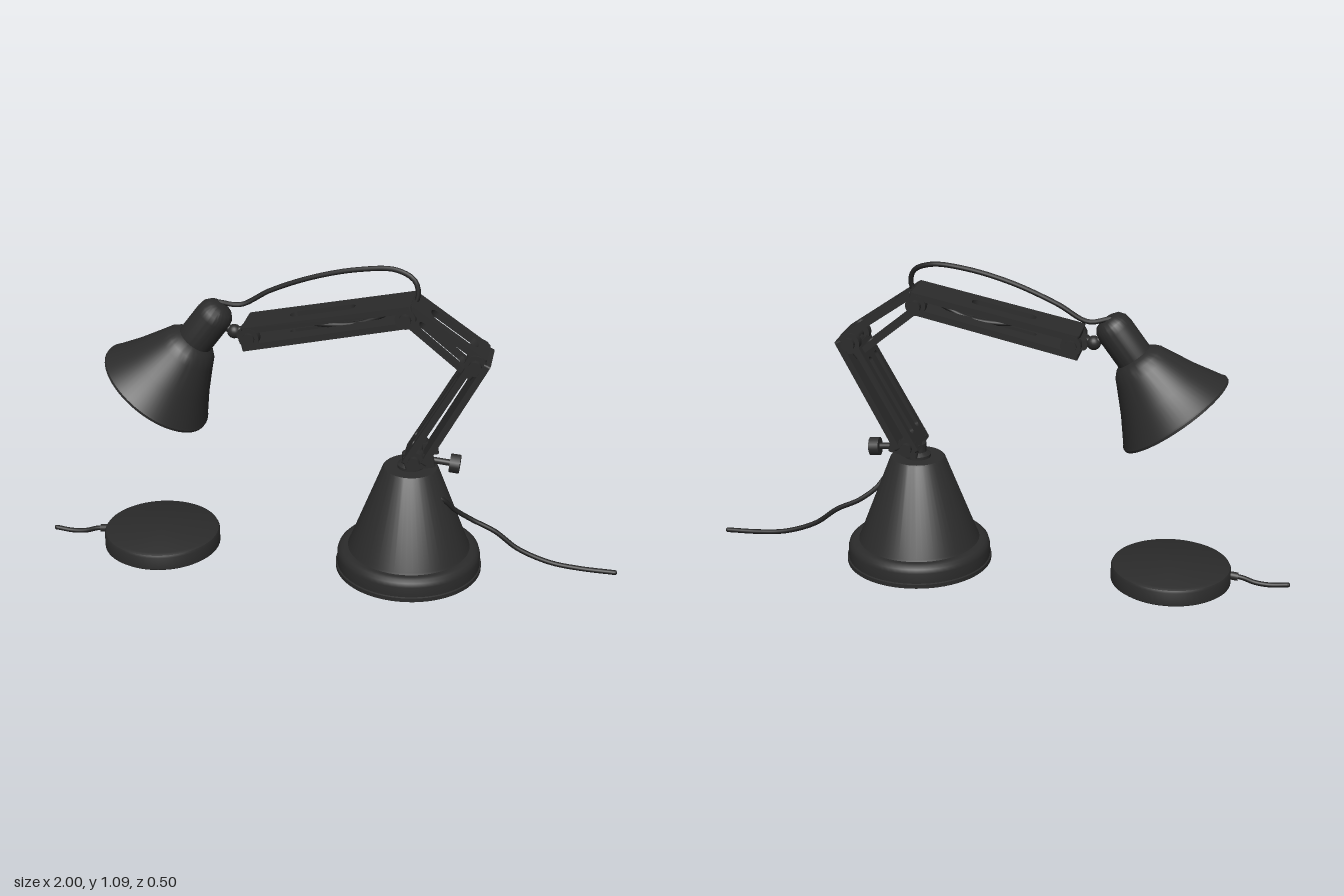
import * as THREE from 'three';
import { toCreasedNormals } from 'three/addons/utils/BufferGeometryUtils.js';

const black = new THREE.MeshStandardMaterial({ color: 0x2b2b2b });
black.name = 'blackPaint';
const rubber = new THREE.MeshStandardMaterial({ color: 0x222222 });
rubber.name = 'blackCord';
const cream = new THREE.MeshStandardMaterial({ color: 0xe6e2d0 });
cream.name = 'creamLining';

const V = (x, y, z = 0) => new THREE.Vector3(x, y, z);

function add(parent, name, geometry, material = black) {
  const mesh = new THREE.Mesh(geometry, material);
  mesh.name = name;
  parent.add(mesh);
  return mesh;
}

// Turned part from [radius, height] pairs, listed upwards for an outer skin
function turned(points, segments = 64) {
  const g = new THREE.LatheGeometry(points.map(p => new THREE.Vector2(...p)), segments);
  return toCreasedNormals(g, 0.6);
}

// Cylinder between two points
function rod(parent, name, a, b, radius, segments = 24) {
  const d = b.clone().sub(a);
  const m = add(parent, name, new THREE.CylinderGeometry(radius, radius, d.length(), segments));
  m.position.copy(a).add(b).multiplyScalar(0.5);
  m.quaternion.setFromUnitVectors(V(0, 1), d.normalize());
  return m;
}

function cord(parent, name, points, radius = 0.0085) {
  const curve = new THREE.CatmullRomCurve3(points.map(p => V(...p)));
  add(parent, name, new THREE.TubeGeometry(curve, 80, radius, 10), rubber);
  for (const p of [points[0], points[points.length - 1]])
    add(parent, name + 'End', new THREE.SphereGeometry(radius, 10, 8), rubber).position.set(...p);
}

function roundedOutline(target, cx, cy, w, h, r) {
  const x = cx - w / 2, y = cy - h / 2;
  target.moveTo(x + r, y);
  target.lineTo(x + w - r, y);
  target.absarc(x + w - r, y + r, r, -Math.PI / 2, 0);
  target.lineTo(x + w, y + h - r);
  target.absarc(x + w - r, y + h - r, r, 0, Math.PI / 2);
  target.lineTo(x + r, y + h);
  target.absarc(x + r, y + h - r, r, Math.PI / 2, Math.PI);
  target.lineTo(x, y + r);
  target.absarc(x + r, y + r, r, Math.PI, Math.PI * 1.5);
  return target;
}

// Flat arm plate from a to b, with slots given as [offset along, offset across, length, width]
function plate(parent, name, a, b, width, thick, slots = []) {
  const d = b.clone().sub(a), length = d.length();
  d.normalize();
  const shape = roundedOutline(new THREE.Shape(), 0, 0, length, width, 0.008);
  for (const [cx, cy, l, w] of slots)
    shape.holes.push(roundedOutline(new THREE.Path(), cx, cy, l, w, w * 0.45));
  const g = new THREE.ExtrudeGeometry(shape, { depth: thick, bevelEnabled: false, curveSegments: 6 });
  g.translate(0, 0, -thick / 2);
  g.applyMatrix4(new THREE.Matrix4().makeBasis(d, V(0, 0, -1), V(-d.y, d.x)));
  add(parent, name, g).position.copy(a).add(b).multiplyScalar(0.5);
}

// Hinge: barrel along z, thin bolt and a nut at each side
function hinge(parent, name, x, y, radius, half, bolt) {
  const g = new THREE.Group();
  g.name = name;
  parent.add(g);
  for (const s of [-1, 1]) {
    rod(g, 'hingeCheek', V(x, y, s * (half - 0.03)), V(x, y, s * half), radius);
    rod(g, 'hingeNut', V(x, y, s * half), V(x, y, s * bolt), radius * 0.6, 12);
  }
  rod(g, 'hingePin', V(x, y, -half), V(x, y, half), radius * 0.5);
}

export function createModel() {
  const lamp = new THREE.Group();
  lamp.name = 'deskLamp';

  // Conical base on a rounded foot ring
  const base = new THREE.Group();
  base.name = 'base';
  base.position.x = 0.285;
  lamp.add(base);
  add(base, 'basePad', turned([[0, 0], [0.235, 0], [0.235, 0.012]]), rubber);
  add(base, 'baseCone', turned([[0, 0.008], [0.252, 0.008], [0.252, 0.022], [0.247, 0.024], [0.247, 0.06],
    [0.243, 0.074], [0.234, 0.083], [0.222, 0.087], [0.21, 0.087], [0.206, 0.095], [0.095, 0.385],
    [0.09, 0.39], [0, 0.39]]));
  add(base, 'baseNeck', turned([[0.045, 0.388], [0.045, 0.4], [0.03, 0.41], [0.03, 0.44], [0, 0.45]], 32));

  // Swivel bracket and tightening knob
  add(lamp, 'swivelBall', new THREE.SphereGeometry(0.035, 24, 16)).position.set(0.3, 0.425, 0);
  rod(lamp, 'knobShaft', V(0.31, 0.425), V(0.43, 0.414), 0.011);
  rod(lamp, 'knob', V(0.418, 0.415), V(0.452, 0.412), 0.032, 12);
  for (const s of [-1, 1])
    plate(lamp, 'swivelBracket', V(0.27, 0.425, s * 0.05), V(0.37, 0.445, s * 0.05), 0.02, 0.045);

  // Lower arm
  const lower = new THREE.Group();
  lower.name = 'lowerArm';
  lamp.add(lower);
  plate(lower, 'lowerArmInnerPlate', V(0.272, 0.43), V(0.475, 0.795), 0.15, 0.022,
    [[0, 0.034, 0.3, 0.03], [0, -0.034, 0.3, 0.03]]);
  plate(lower, 'lowerArmOuterPlate', V(0.335, 0.435), V(0.535, 0.812), 0.155, 0.022);
  hinge(lower, 'footHinge', 0.305, 0.445, 0.033, 0.075, 0.092);
  hinge(lower, 'elbowHinge', 0.495, 0.805, 0.036, 0.075, 0.092);

  // Middle link
  const link = new THREE.Group();
  link.name = 'middleLink';
  lamp.add(link);
  plate(link, 'linkUpperPlate', V(0.275, 0.988), V(0.525, 0.815), 0.135, 0.022, [[0.015, 0, 0.19, 0.062]]);
  plate(link, 'linkLowerPlate', V(0.262, 0.932), V(0.485, 0.75), 0.1, 0.02, [[0, 0, 0.2, 0.055]]);
  rod(link, 'linkSpacer', V(0.495, 0.785, -0.025), V(0.495, 0.785, 0.025), 0.03);

  // Upper arm
  const upper = new THREE.Group();
  upper.name = 'upperArm';
  lamp.add(upper);
  plate(upper, 'upperArmTopPlate', V(-0.275, 0.868), V(0.285, 0.985), 0.145, 0.022, [[-0.02, 0, 0.22, 0.045]]);
  plate(upper, 'upperArmBottomPlate', V(-0.275, 0.808), V(0.285, 0.932), 0.145, 0.022, [[-0.02, 0, 0.22, 0.03]]);
  hinge(upper, 'shoulderHinge', 0.265, 0.95, 0.034, 0.075, 0.095);
  hinge(upper, 'headHinge', -0.25, 0.845, 0.034, 0.075, 0.085);

  // Ball joint between arm and head
  rod(lamp, 'headStem', V(-0.4, 0.855), V(-0.25, 0.838), 0.013);
  add(lamp, 'headBall', new THREE.SphereGeometry(0.024, 20, 14)).position.set(-0.315, 0.838, 0);
  rod(lamp, 'headForkBar', V(-0.282, 0.838, -0.035), V(-0.282, 0.838, 0.035), 0.018);

  // Tilted shade with a pale lining
  const head = new THREE.Group();
  head.name = 'head';
  head.position.set(-0.593, 0.608, 0);
  head.rotation.z = -Math.atan2(0.6, 0.8);
  lamp.add(head);
  add(head, 'shade', turned([[0.199, 0], [0.206, 0], [0.206, 0.008], [0.201, 0.014], [0.15, 0.1], [0.104, 0.19],
    [0.092, 0.215], [0.076, 0.232], [0.062, 0.24], [0.062, 0.345], [0.058, 0.37], [0.045, 0.388],
    [0.025, 0.396], [0, 0.398]]));
  add(head, 'shadeLining', turned([[0, 0.235], [0.07, 0.228], [0.098, 0.19], [0.144, 0.1], [0.199, 0]]
    ), cream).material.side = THREE.DoubleSide;
  add(head, 'bulb', turned([[0, 0.08], [0.03, 0.088], [0.045, 0.115], [0.04, 0.15], [0.022, 0.19], [0.022, 0.23]], 32), cream);

  // Cords
  cord(lamp, 'armCord', [[-0.37, 0.93, -0.02], [-0.3, 0.92, -0.035], [-0.2, 0.975, -0.04], [-0.05, 1.035, -0.035],
    [0.1, 1.072, -0.03], [0.22, 1.08, -0.025], [0.285, 1.05, -0.01], [0.292, 0.99, 0.0], [0.2, 0.94, 0.0],
    [0.1, 0.895, 0], [0, 0.884, 0], [-0.1, 0.888, 0], [-0.24, 0.855, 0]]);
  cord(lamp, 'powerCord', [[0.38, 0.31, 0.05], [0.405, 0.295, 0.045], [0.44, 0.25, 0.02], [0.5, 0.205, 0.0],
    [0.58, 0.165, -0.004], [0.66, 0.105, -0.005], [0.77, 0.063, -0.005], [0.87, 0.05, -0.005], [0.992, 0.046, -0.005]]);

  // Round plug puck with its own cord
  const puck = new THREE.Group();
  puck.name = 'puck';
  puck.position.x = -0.597;
  lamp.add(puck);
  add(puck, 'puckBody', turned([[0, 0.004], [0.196, 0.004], [0.204, 0.01], [0.204, 0.055], [0.2, 0.063],
    [0.19, 0.068], [0, 0.068]]));
  rod(lamp, 'puckCordSleeve', V(-0.825, 0.038), V(-0.79, 0.042), 0.014);
  cord(lamp, 'puckCord', [[-0.79, 0.042, 0], [-0.84, 0.036, 0], [-0.88, 0.023, 0], [-0.93, 0.018, 0], [-0.992, 0.024, 0]]);

  return lamp;
}
